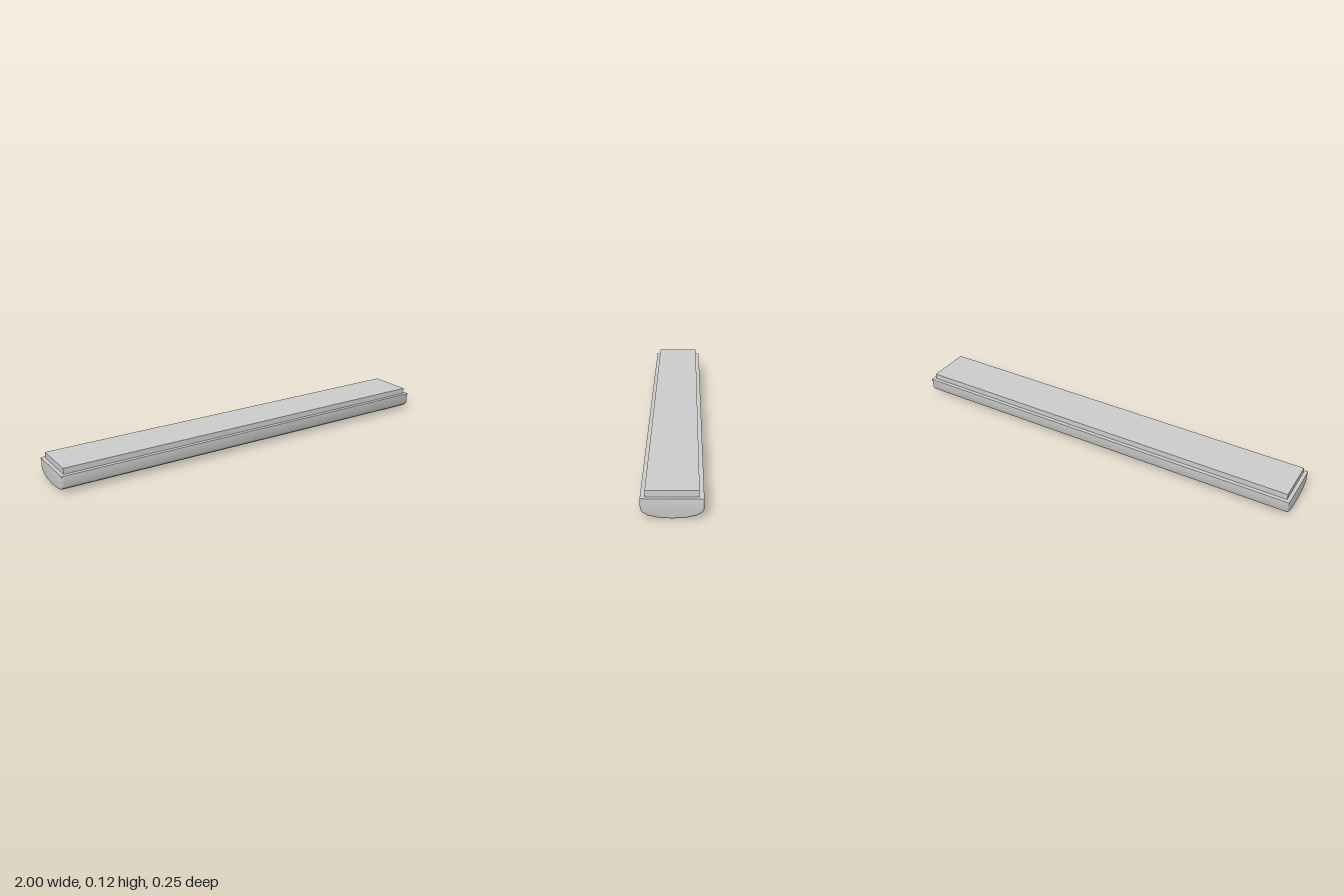
import * as THREE from 'three';
import { toCreasedNormals } from 'three/addons/utils/BufferGeometryUtils.js';

const material = new THREE.MeshStandardMaterial({ color: 0xcccccc });

function addPart(group, name, geometry) {
  const mesh = new THREE.Mesh(geometry, material);
  mesh.name = name;
  group.add(mesh);
  return mesh;
}

// Box spanning y0..y1, centred on x and z
function slab(group, name, width, depth, y0, y1) {
  addPart(group, name, new THREE.BoxGeometry(width, y1 - y0, depth)).position.y = (y0 + y1) / 2;
}

export function createModel() {
  const group = new THREE.Group();
  group.name = 'linearCeilingLight';

  // Diffuser: bowed cross-section run along x, with softly rounded ends
  const half = [[0.055, 0.004], [0.095, 0.013], [0.118, 0.027], [0.125, 0.04], [0.125, 0.086]];
  const profile = [
    [0, 0],
    ...half,
    ...half.slice().reverse().map(([x, y]) => [-x, y]),
  ].map(([x, y]) => new THREE.Vector2(x, y));
  const bevel = 0.008;
  const diffuser = new THREE.ExtrudeGeometry(new THREE.Shape(profile), {
    depth: 2 - 2 * bevel,
    bevelThickness: bevel,
    bevelSize: bevel,
    bevelOffset: -bevel,
    bevelSegments: 3,
  });
  diffuser.translate(0, 0, bevel - 1).rotateY(Math.PI / 2);
  addPart(group, 'diffuser', toCreasedNormals(diffuser, 0.7));

  // Thin rim closing the diffuser, and the mounting plate on top
  slab(group, 'rim', 2, 0.25, 0.08, 0.087);
  slab(group, 'mountingPlate', 1.966, 0.213, 0.086, 0.115);

  return group;
}
